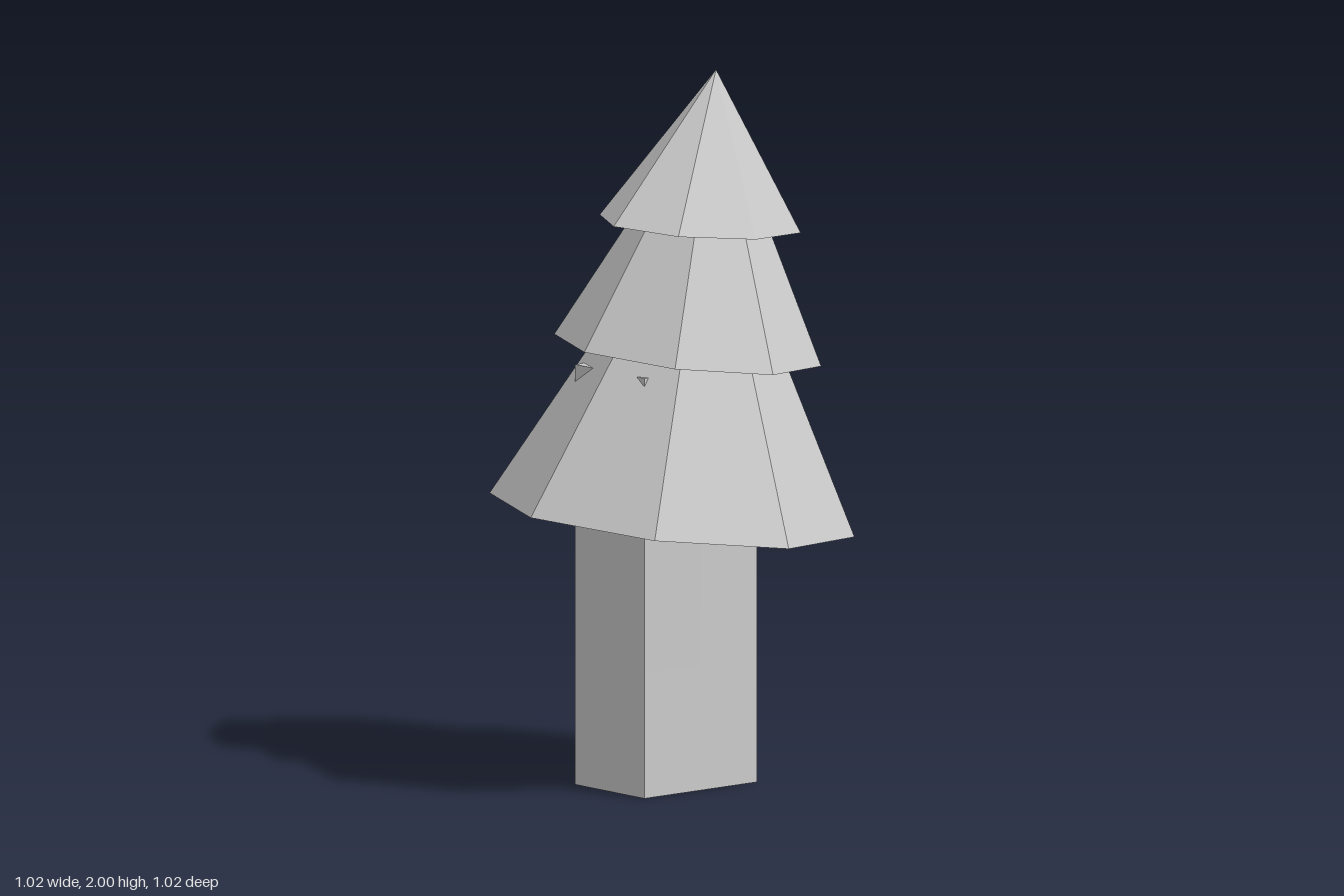
import * as THREE from 'three';

const material = new THREE.MeshStandardMaterial({ color: 0xcccccc, flatShading: true });

// Eight-sided foliage cone leaning from its base centre towards its tip
function foliageTier(name, base, tip, radius, depth = 1, yaw = 0) {
  const start = new THREE.Vector3(...base);
  const axis = new THREE.Vector3(...tip).sub(start);
  const height = axis.length();
  const geometry = new THREE.ConeGeometry(radius, height, 8);
  geometry.translate(0, height / 2, 0).rotateY(yaw).scale(1, 1, depth);
  const mesh = new THREE.Mesh(geometry, material);
  mesh.name = name;
  mesh.position.copy(start);
  mesh.quaternion.setFromUnitVectors(new THREE.Vector3(0, 1, 0), axis.normalize());
  return mesh;
}

// Square-cut trunk with a faint ridge rising up the front and back
function trunk() {
  const height = 1.18, ridgeStart = 0.35;
  const geometry = new THREE.BoxGeometry(0.41, height, 0.295, 2, 2, 1);
  geometry.translate(0, height / 2, 0);
  const p = geometry.attributes.position;
  for (let i = 0; i < p.count; i++) {
    const y = p.getY(i);
    if (Math.abs(y - height / 2) < 0.01) p.setY(i, ridgeStart);
    else if (y > height / 2 && Math.abs(p.getX(i)) < 0.01) {
      p.setZ(i, p.getZ(i) + Math.sign(p.getZ(i)) * 0.01);
    }
  }
  const mesh = new THREE.Mesh(geometry, material);
  mesh.name = 'trunk';
  mesh.position.set(-0.015, 0, -0.007);
  return mesh;
}

export function createModel() {
  const tree = new THREE.Group();
  tree.name = 'tree';
  tree.add(
    trunk(),
    foliageTier('lowerFoliage', [0, 0.753, 0], [0.092, 1.72, 0.052], 0.51, 1, -0.015),
    foliageTier('middleFoliage', [0.04, 1.214, 0.02], [0.109, 1.945, 0.06], 0.373, 1, -0.015),
    foliageTier('topFoliage', [0.07, 1.568, 0.038], [0.108, 2, 0.061], 0.316, 0.755),
  );
  return tree;
}
